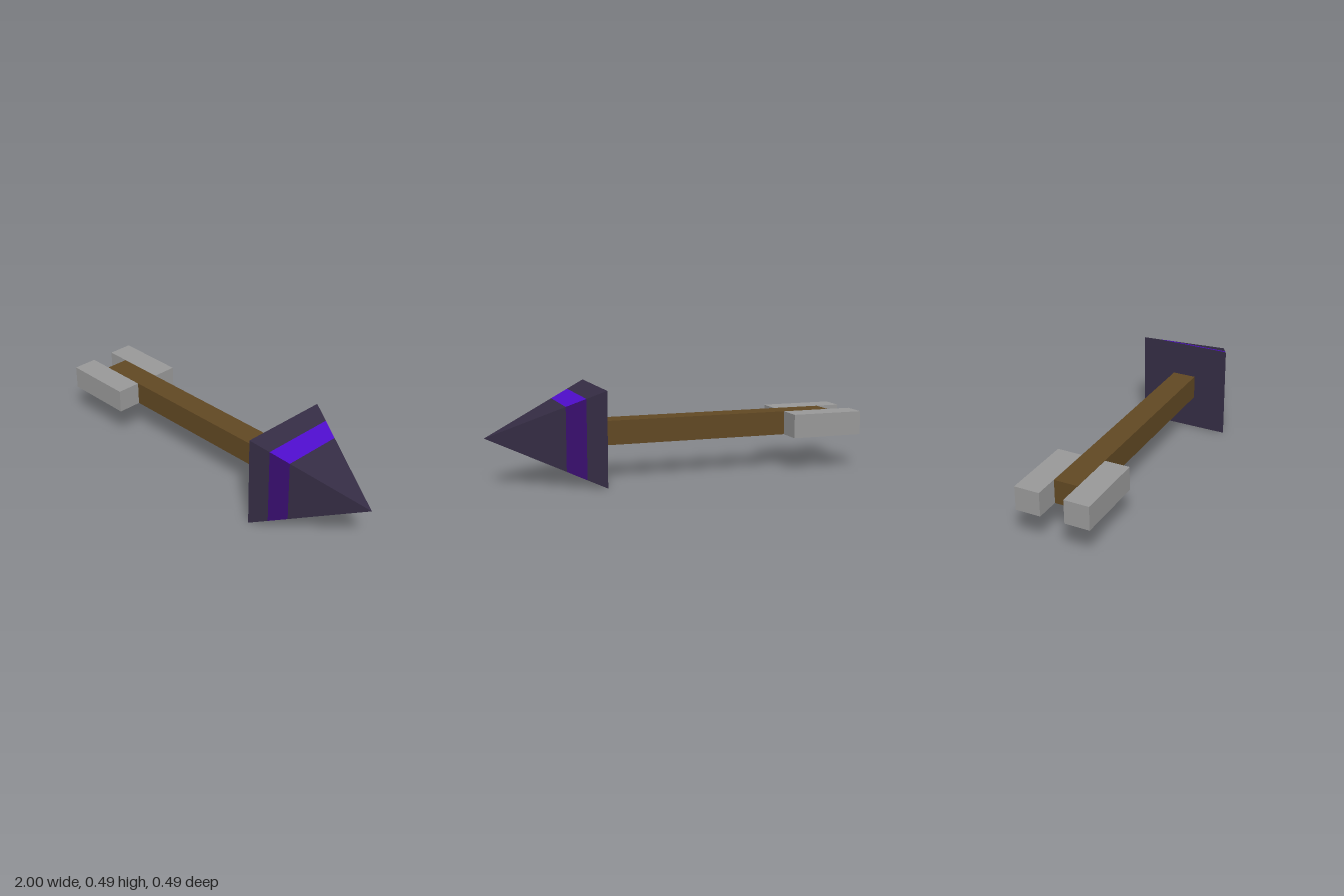
import * as THREE from 'three';

const mat = (name, color) => {
  const m = new THREE.MeshStandardMaterial({ color });
  m.name = name;
  return m;
};

export function createModel() {
  const group = new THREE.Group();
  const wood = mat('brown wood', 0x614823);
  const grey = mat('grey fletching', 0x999999);
  const dark = mat('dark head', 0x342c43);
  const bright = mat('bright violet', 0x4e0dca);
  const deep = mat('deep violet', 0x380e6e);

  const midY = 0.245, baseX = 0.43, tipX = 1, half = 0.245;

  const add = (name, geometry, material, x, y, z) => {
    const mesh = new THREE.Mesh(geometry, material);
    mesh.name = name;
    mesh.position.set(x, y, z);
    group.add(mesh);
  };
  const box = (name, material, x0, x1, h, d, z) =>
    add(name, new THREE.BoxGeometry(x1 - x0, h, d), material, (x0 + x1) / 2, midY + 0.002, z);

  // Shaft and the two fletching blocks beside its tail
  box('shaft', wood, -0.87, baseX, 0.126, 0.126, 0);
  for (const [name, side] of [['leftFletching', -1], ['rightFletching', 1]]) {
    box(name, grey, -1, -0.61, 0.126, 0.132, side * 0.13);
  }

  // Four-sided head, one flat face per side and band
  const halfAt = (x) => half * (tipX - x) / (tipX - baseX);
  const sections = [
    ['headBase', baseX, 0.525, dark, dark],
    ['headStripe', 0.525, 0.62, deep, bright],
    ['headTip', 0.62, tipX, dark, dark],
  ];
  for (const [name, x0, x1, sideMat, topMat] of sections) {
    for (let i = 0; i < 4; i++) {
      let g = new THREE.CylinderGeometry(
        halfAt(x1) * Math.SQRT2, halfAt(x0) * Math.SQRT2, x1 - x0,
        1, 1, true, -Math.PI / 4 + i * Math.PI / 2, Math.PI / 2);
      g = g.toNonIndexed();
      g.computeVertexNormals();
      g.rotateZ(-Math.PI / 2);
      add(name, g, i % 2 ? topMat : sideMat, (x0 + x1) / 2, midY, 0);
    }
  }

  // Flat back of the head
  const back = new THREE.PlaneGeometry(half * 2, half * 2);
  back.rotateY(-Math.PI / 2);
  add('headBack', back, dark, baseX, midY, 0);

  return group;
}
